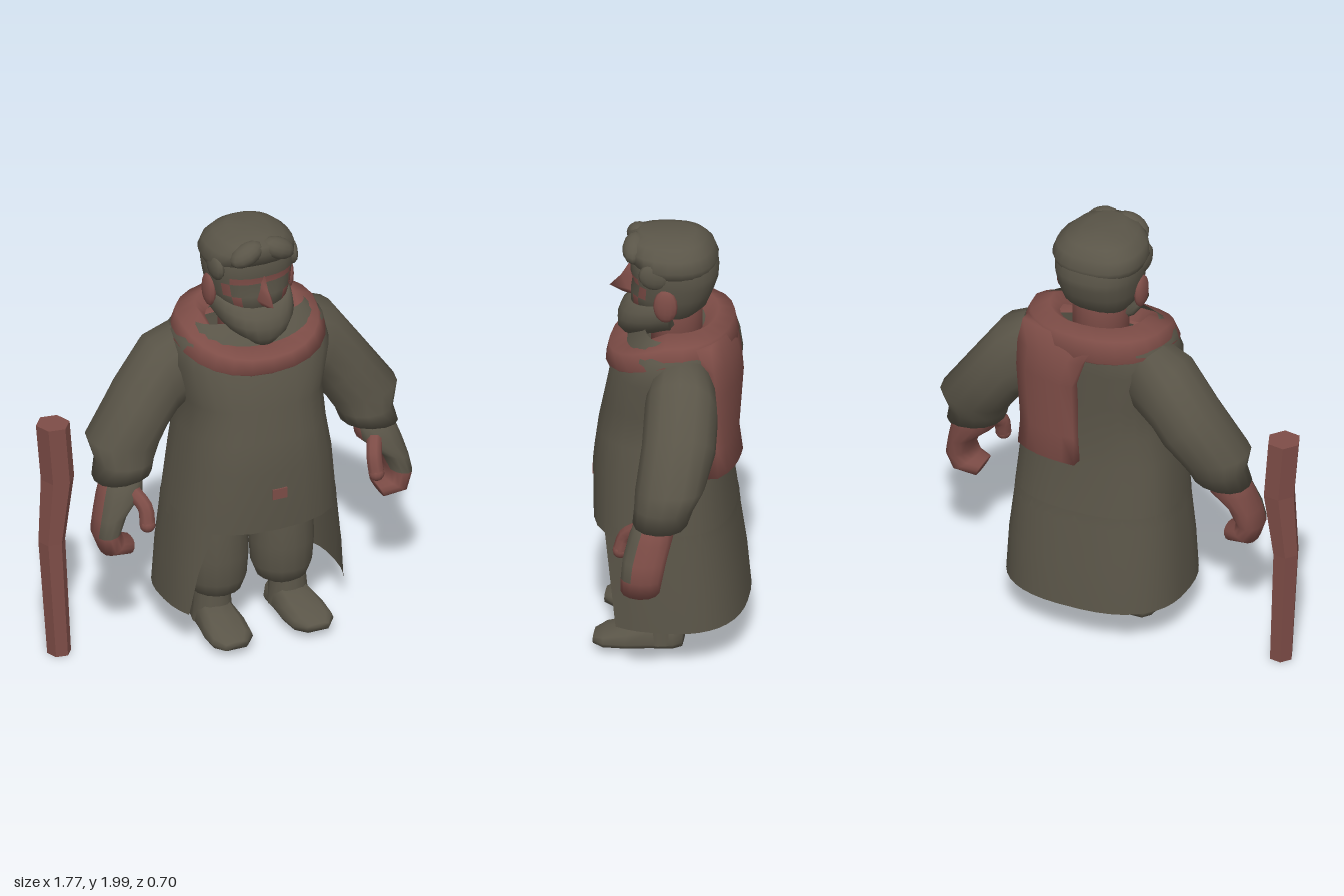
import * as THREE from 'three';

const olive = new THREE.MeshStandardMaterial({ name: 'oliveCloth', color: 0x5a5548, side: THREE.DoubleSide });
const red = new THREE.MeshStandardMaterial({ name: 'dullRed', color: 0x7e4d47, side: THREE.DoubleSide });

const pw = (v, k) => Math.sign(v) * Math.abs(v) ** k;

// Horizontal oval section; front and back depths differ, y may be a function of sin
function ring(y, hw, zf, zb, k = 0.85, from = 0, to = 2 * Math.PI, n = 24, closed = true) {
  return Array.from({ length: n }, (_, i) => {
    const t = from + (to - from) * i / (closed ? n : n - 1), s = Math.sin(t);
    return [hw * pw(Math.cos(t), k), typeof y === 'function' ? y(s) : y, pw(s, k) * (s > 0 ? zf : -zb)];
  });
}

// Oval section between an inner and an outer point, deep in z
function limbRing(ix, iy, ox, oy, z, rz, n = 14) {
  return Array.from({ length: n }, (_, i) => {
    const t = 2 * Math.PI * i / n, u = 0.5 + 0.5 * pw(Math.cos(t), 0.9);
    return [ix + (ox - ix) * u, iy + (oy - iy) * u, z + rz * pw(Math.sin(t), 0.9)];
  });
}

// Skin joining sections; pick(i, j) true gives a face the second colour
function loft(name, sections, mat, { caps = true, closed = true, flat = false, pick, mat2 } = {}) {
  const n = sections[0].length, pos = sections.flat(2), a = [], b = [];
  for (let i = 0; i < sections.length - 1; i++) {
    for (let j = 0; j < (closed ? n : n - 1); j++) {
      const p = i * n + j, q = i * n + (j + 1) % n;
      (pick && pick(i, j) ? b : a).push(p, p + n, q, q, p + n, q + n);
    }
  }
  if (caps) {
    [0, sections.length - 1].forEach((r) => {
      const c = pos.length / 3, s = sections[r];
      for (let d = 0; d < 3; d++) pos.push(s.reduce((m, v) => m + v[d], 0) / n);
      for (let j = 0; j < n; j++) {
        const p = r * n + j, q = r * n + (j + 1) % n;
        a.push(...(r ? [c, q, p] : [c, p, q]));
      }
    });
  }
  let g = new THREE.BufferGeometry();
  g.setAttribute('position', new THREE.Float32BufferAttribute(pos, 3));
  g.setIndex([...a, ...b]);
  if (flat) g = g.toNonIndexed();
  g.computeVertexNormals();
  if (pick) {
    g.addGroup(0, a.length, 0);
    g.addGroup(a.length, b.length, 1);
  }
  const m = new THREE.Mesh(g, pick ? [mat, mat2] : mat);
  m.name = name;
  return m;
}

function ball(name, mat, x, y, z, sx, sy, sz) {
  const m = new THREE.Mesh(new THREE.SphereGeometry(1, 12, 8), mat);
  m.name = name;
  m.position.set(x, y, z);
  m.scale.set(sx, sy, sz);
  return m;
}

function buildRobe(body) {
  body.add(loft('robe', [
    [0.61, 0.39, 0.35, -0.29], [0.9, 0.36, 0.355, -0.25], [1.05, 0.335, 0.335, -0.245], [1.2, 0.325, 0.305, -0.245],
    [1.38, 0.37, 0.27, -0.26], [1.5, 0.35, 0.19, -0.26], [1.57, 0.27, 0.12, -0.24],
  ].map((r) => ring(...r, 0.8)), olive, { caps: false }));

  // Skirt, open at the front
  const skirt = [[0.66, 0.385, 0.35, -0.285, 47], [0.6, 0.39, 0.35, -0.29, 46], [0.4, 0.41, 0.365, -0.32, 36], [0.19, 0.42, 0.38, -0.34, 28.7]];
  body.add(loft('skirt', skirt.map(([y, w, f, b, deg]) => {
    const t = deg * Math.PI / 180;
    return ring(y, w, f, b, 0.8, Math.PI - t, 2 * Math.PI + t, 28, false);
  }), olive, { caps: false, closed: false }));

  const clasp = new THREE.Mesh(new THREE.BoxGeometry(0.07, 0.05, 0.009), red);
  clasp.name = 'clasp';
  clasp.position.set(0, 0.795, 0.355);
  body.add(clasp);
}

function buildScarf(body) {
  // Width, front and back depth, then heights at front, side and back
  const rows = [
    [0.19, 0.16, -0.14, 1.43, 1.54, 1.55], [0.23, 0.2, -0.2, 1.48, 1.595, 1.6], [0.32, 0.285, -0.27, 1.45, 1.56, 1.575],
    [0.355, 0.3, -0.29, 1.385, 1.48, 1.47], [0.31, 0.25, -0.24, 1.35, 1.44, 1.43],
  ];
  body.add(loft('scarf', rows.map(([w, f, b, yf, ys, yb]) =>
    ring((s) => ys + (s > 0 ? (yf - ys) * s : (ys - yb) * s), w, f, b, 0.9)), red, { caps: false }));

  // Scarf end hanging down the back over the left side
  const ends = [[1.56, 0.26, -0.1, 0.29], [1.45, 0.298, -0.04, 0.31], [1.33, 0.315, 0, 0.31], [1.05, 0.295, 0, 0.29], [0.92, 0.31, -0.01, 0.3]];
  body.add(loft('scarfEnd', ends.map(([y, d, x0, x1]) => {
    const back = Array.from({ length: 6 }, (_, i) => {
      const x = x0 + (x1 - x0) * i / 5;
      return [x, y, -d * (1 - (Math.abs(x) / 0.4) ** 2.5) ** 0.4];
    });
    return [...back, ...back.map(([x, , z]) => [x, y - 0.01, z + 0.08]).reverse()];
  }), red));
}

function buildHead(body) {
  body.add(loft('neck', [ring(1.45, 0.13, 0.1, -0.13, 1), ring(1.7, 0.13, 0.1, -0.13, 1)], red));
  const face = [
    [1.59, 0.11, 0.12, -0.08], [1.66, 0.165, 0.19, -0.155], [1.72, 0.185, 0.19, -0.18], [1.78, 0.195, 0.18, -0.2],
    [1.815, 0.2, 0.19, -0.203], [1.88, 0.2, 0.19, -0.195], [1.94, 0.17, 0.17, -0.165],
  ];
  // Brow band and cheeks are red
  body.add(loft('head', face.map((r) => ring(...r)), olive, {
    mat2: red,
    pick: (i, j) => (i === 3 && j >= 3 && j <= 8) || (i === 1 && (j === 3 || j === 8)) || (i === 2 && (j === 2 || j === 9)),
  }));
  body.add(loft('hair', [
    [1.83, 0.195, 0.1, -0.19], [1.88, 0.215, 0.19, -0.2], [1.93, 0.197, 0.205, -0.18], [1.97, 0.15, 0.2, -0.145], [1.993, 0.085, 0.15, -0.1],
  ].map((r) => ring(...r)), olive));
  body.add(loft('beard', [
    [1.485, 0.09, 0.22, -0.1], [1.53, 0.16, 0.25, -0.03], [1.58, 0.19, 0.25, 0], [1.625, 0.187, 0.235, -0.03], [1.66, 0.175, 0.2, -0.05],
  ].map(([y, w, f, b]) => ring((s) => y + (s < 0 ? 0.06 : 0.05 * (1 - s)), w, f, y < 1.5 ? 0 : b, 0.85)), olive));
  body.add(loft('nose', [[1.82, 0.02, 0.2], [1.76, 0.027, 0.235], [1.705, 0.043, 0.287], [1.675, 0.04, 0.225]]
    .map(([y, w, f]) => ring(y, w, f, -0.02, 1, 0, 2 * Math.PI, 8).map(([x, v, z]) => [x, v, Math.max(z, 0.14)])), red));
  for (const s of [1, -1]) {
    body.add(ball('ear', red, s * 0.19, 1.71, 0.012, 0.027, 0.08, 0.055));
    const lock = ball('forelock', olive, s * 0.075, 1.935, 0.165, 0.085, 0.05, 0.055);
    lock.rotation.z = -s * 0.45;
    body.add(lock);
    const tuft = ball('sideHair', olive, s * 0.18, 1.85, 0.06, 0.03, 0.065, 0.075);
    body.add(tuft);
  }
}

function buildSide(name) {
  const side = new THREE.Group();
  side.name = name;
  side.add(loft('sleeve', [
    [0.2, 1.2, 0.24, 1.55, -0.07, 0.14], [0.335, 1.1, 0.44, 1.46, -0.085, 0.165], [0.37, 1.05, 0.59, 1.25, -0.085, 0.165],
    [0.42, 0.98, 0.745, 1.03, -0.06, 0.155], [0.455, 0.92, 0.715, 0.92, -0.035, 0.135], [0.47, 0.87, 0.735, 0.84, -0.02, 0.125],
  ].map((r) => limbRing(...r)), olive));

  // Curled hand with a wrapped wrist and palm
  side.add(loft('hand', [
    [0.52, 0.88, 0.7, 0.88, 0, 0.085], [0.53, 0.79, 0.735, 0.78, 0.02, 0.1], [0.62, 0.71, 0.757, 0.69, 0.04, 0.1],
    [0.655, 0.63, 0.772, 0.61, 0.05, 0.095], [0.64, 0.585, 0.74, 0.52, 0.06, 0.09], [0.595, 0.57, 0.625, 0.5, 0.06, 0.07],
  ].map((r) => limbRing(...r)), red, { mat2: olive, pick: (i, j) => i < 3 && j > 0 && j < 6 }));
  const thumbPath = new THREE.CatmullRomCurve3([[0.59, 0.8, 0.08], [0.56, 0.745, 0.14], [0.56, 0.67, 0.165]].map((p) => new THREE.Vector3(...p)));
  const thumb = new THREE.Mesh(new THREE.TubeGeometry(thumbPath, 6, 0.036, 8), red);
  thumb.name = 'thumb';
  side.add(thumb, ball('thumbTip', red, 0.56, 0.67, 0.165, 0.036, 0.036, 0.036));

  const legProfile = [[0.07, 0.17], [0.115, 0.2], [0.138, 0.26], [0.147, 0.38], [0.14, 0.55], [0.12, 0.72]];
  const leg = new THREE.Mesh(new THREE.LatheGeometry(legProfile.map((p) => new THREE.Vector2(...p)), 16), olive);
  leg.name = 'trouserLeg';
  leg.position.set(0.16, 0, 0.02);
  side.add(leg);

  // Boot: ankle and a foot lofted from heel to toe
  const ankle = new THREE.Mesh(new THREE.CylinderGeometry(0.08, 0.095, 0.16, 12), olive);
  ankle.name = 'bootAnkle';
  ankle.position.set(0.185, 0.13, 0.035);
  side.add(ankle);
  const foot = [[-0.068, 0.055, 0.1], [-0.03, 0.085, 0.15], [0.08, 0.092, 0.155], [0.18, 0.105, 0.125], [0.28, 0.1, 0.098], [0.33, 0.055, 0.07]];
  side.add(loft('bootFoot', foot.map(([z, w, top]) => Array.from({ length: 12 }, (_, i) => {
    const t = 2 * Math.PI * i / 12, s = Math.sin(t);
    return [0.183 + z * 0.05 + w * pw(Math.cos(t), 0.7), s < 0 ? 0.035 + 0.02 * (1 + Math.max(-1, s * 2)) : 0.055 + (top - 0.055) * pw(s, 0.8), z];
  })), olive));
  return side;
}

export function createModel() {
  const model = new THREE.Group();
  model.name = 'robedTraveller';
  const body = new THREE.Group();
  body.name = 'figure';
  body.position.x = 0.115;
  buildRobe(body);
  buildScarf(body);
  buildHead(body);
  const left = buildSide('leftLimbs'), right = buildSide('rightLimbs');
  right.scale.x = -1;
  body.add(left, right);
  model.add(body);

  // Crooked six-sided staff
  model.add(loft('staff', [[-0.785, 0, -0.037, 0.055], [-0.815, 0.57, -0.05, 0.062], [-0.785, 0.88, -0.055, 0.077], [-0.808, 1.16, -0.055, 0.078]]
    .map(([x, y, z, r]) => ring(y, r, r, -r, 1, 0.15, 0.15 + 2 * Math.PI, 6).map((p) => [p[0] + x, p[1], p[2] + z])), red, { flat: true }));
  return model;
}
